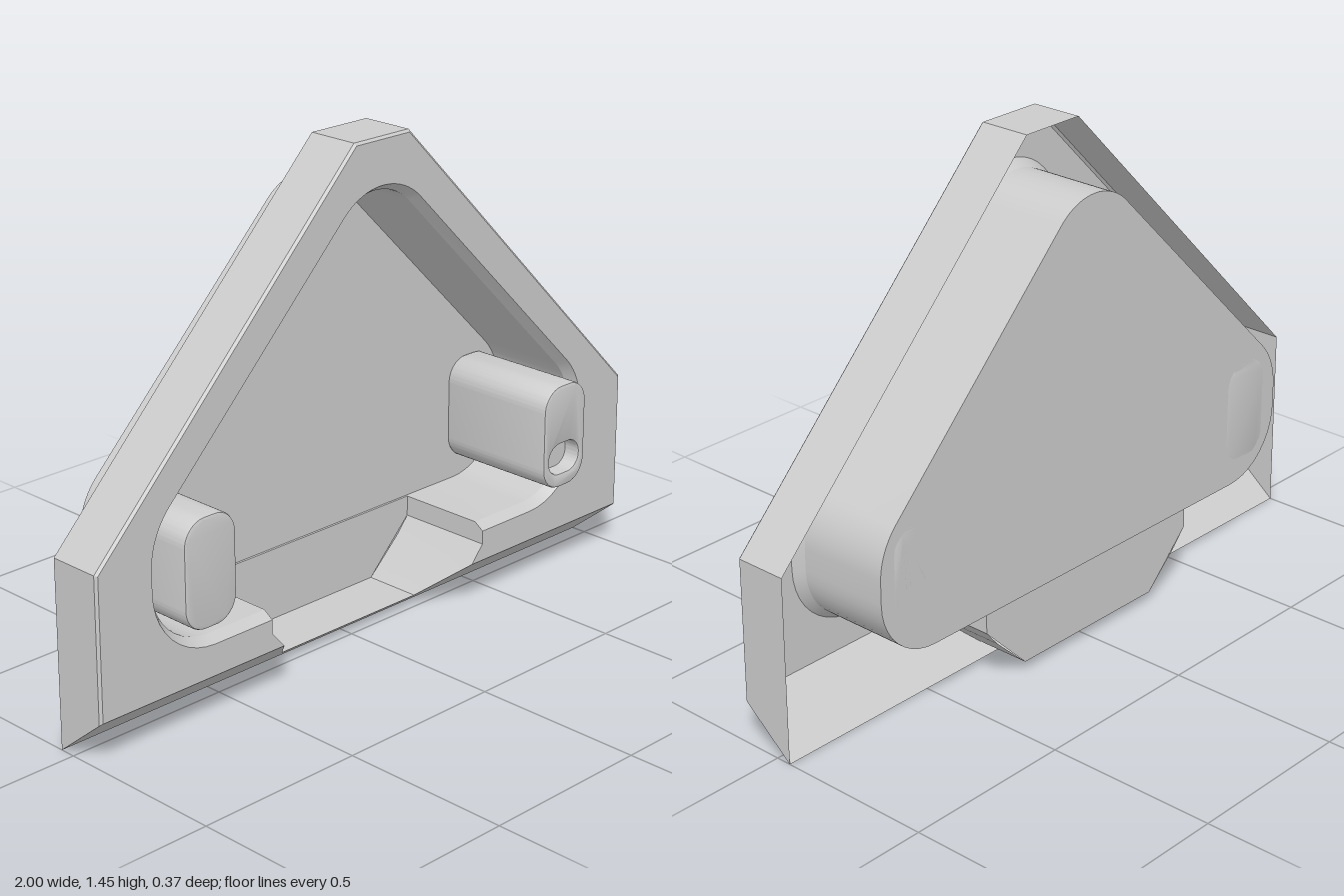
import * as THREE from 'three';
import { toCreasedNormals } from 'three/addons/utils/BufferGeometryUtils.js';

const FRONT = 0.115, BACK = -0.045, FLOOR = -0.187, TROUGH = -0.18;
const LIP = 0.02, LIP_Z = 0.085, EDGE = 0.007, CHAMFER_Y = 0.13;
const chamferZ = (y) => Math.min(FRONT, BACK + (y * (FRONT - BACK)) / CHAMFER_Y);

const shell = new THREE.MeshStandardMaterial({ color: 0xcccccc, side: THREE.DoubleSide });
const solid = new THREE.MeshStandardMaterial({ color: 0xcccccc });

function add(group, name, geometry, material = shell) {
  const mesh = new THREE.Mesh(geometry, material);
  mesh.name = name;
  group.add(mesh);
  return mesh;
}

// Surface through open rings of [x, y, z] points, all of the same length
function loft(rings) {
  const n = rings[0].length, index = [];
  for (let r = 0; r < rings.length - 1; r++) {
    for (let i = 0; i < n - 1; i++) {
      const a = r * n + i, b = a + n;
      index.push(a, a + 1, b, a + 1, b + 1, b);
    }
  }
  const geometry = new THREE.BufferGeometry();
  geometry.setAttribute('position', new THREE.Float32BufferAttribute(rings.flat(2), 3));
  geometry.setIndex(index);
  return toCreasedNormals(geometry, 0.5);
}

const atZ = (points, z) => points.map(([x, y]) => [x, y, z]);
const mirrored = (half) => [...half, ...half.slice().reverse().map(([x, ...rest]) => [-x, ...rest])];
const flat = (points) => new THREE.ShapeGeometry(new THREE.Shape(points.map(([x, y]) => new THREE.Vector2(x, y))));

// Outer outline, from bottom right over the top to bottom left
const outer = (inset, y0) => mirrored([
  [1 - inset, y0], [1 - inset, 0.535 - 0.41 * inset], [0.1 - 0.41 * inset, 1.45 - inset],
]);

// Rounded triangular opening, grown by d, left open along the trough
function opening(d) {
  const half = [[0.41, 0.24 - d]];
  const arc = (cx, cy, r, from, to) => {
    for (let i = 0; i <= 10; i++) {
      const a = THREE.MathUtils.degToRad(from + ((to - from) * i) / 10);
      half.push([cx + (r + d) * Math.cos(a), cy + (r + d) * Math.sin(a)]);
    }
  };
  arc(0.61, 0.43, 0.19, -90, 0);
  arc(0.6, 0.492, 0.2, 0, 45);
  arc(0, 1.12, 0.18, 45, 89);
  return mirrored(half);
}

function roundedRect(Type, w, h, r, cy = 0) {
  const s = new Type(), x = w / 2 - r, y = h / 2 - r;
  s.absarc(x, cy + y, r, 0, Math.PI / 2);
  s.absarc(-x, cy + y, r, Math.PI / 2, Math.PI);
  s.absarc(-x, cy - y, r, Math.PI, Math.PI * 1.5);
  s.absarc(x, cy - y, r, Math.PI * 1.5, Math.PI * 2);
  s.closePath();
  return s;
}

// Upright key standing on the recess floor
function key(name, x, top, hasPocket) {
  const group = new THREE.Group();
  group.name = name;
  const bevel = 0.008;
  const shape = roundedRect(THREE.Shape, 0.175, 0.31, 0.07);
  if (hasPocket) shape.holes.push(roundedRect(THREE.Path, 0.125, 0.09, 0.044, -0.068));
  const body = new THREE.ExtrudeGeometry(shape, {
    depth: top - FLOOR - 2 * bevel, bevelSize: bevel, bevelThickness: bevel,
    bevelOffset: -bevel, bevelSegments: 2, curveSegments: 10,
  });
  body.translate(0, 0, FLOOR + bevel);
  add(group, 'keyBody', toCreasedNormals(body, 0.6), solid);
  if (hasPocket) {
    const base = new THREE.ShapeGeometry(roundedRect(THREE.Shape, 0.125, 0.09, 0.044, -0.068));
    add(group, 'keyPocketFloor', base.translate(0, 0, top - 0.05));
  }
  group.position.set(x, 0.458, 0);
  return group;
}

export function createModel() {
  const model = new THREE.Group();
  model.name = 'triangularPanel';

  // Outer rim, open at the back, with a fine front edge bevel
  add(model, 'outerRim', loft([
    outer(0, 0).map(([x, y]) => [x, y, BACK]),
    atZ(outer(0, CHAMFER_Y - 0.006), FRONT - EDGE),
    atZ(outer(EDGE, CHAMFER_Y), FRONT),
  ]));

  // Front face, running round the opening and the trough
  const notch = [[0.41, 0.18], [0.367, CHAMFER_Y]];
  const frontOutline = [
    ...outer(EDGE, CHAMFER_Y),
    ...notch.slice().reverse().map(([x, y]) => [-x, y]),
    ...opening(LIP).reverse(),
    ...notch,
  ];
  add(model, 'frontFace', flat(frontOutline).translate(0, 0, FRONT));

  // Sloping lower edge, notched for the trough
  const slope = flat(mirrored([
    [1, 0], [1, CHAMFER_Y - 0.006], [1 - EDGE, CHAMFER_Y], [0.367, CHAMFER_Y], [0.26, 0.03],
  ]).map(([x, y]) => [x, y]));
  const p = slope.attributes.position;
  for (let i = 0; i < p.count; i++) p.setZ(i, chamferZ(p.getY(i)));
  slope.computeVertexNormals();
  add(model, 'lowerSlope', slope);

  // Deep recess: bevelled lip, straight wall and back panel
  add(model, 'recessWall', loft([
    atZ(opening(0), FLOOR), atZ(opening(0), LIP_Z), atZ(opening(LIP), FRONT),
  ]));
  add(model, 'backPanel', flat(opening(0)).translate(0, 0, FLOOR));

  // Finger trough at the bottom
  const rim = mirrored([
    [0.41, 0.24, LIP_Z], [0.41, 0.24 - LIP, FRONT], [0.41, 0.18, FRONT],
    [0.367, CHAMFER_Y, FRONT], [0.26, 0.03, chamferZ(0.03)],
  ]);
  add(model, 'troughWall', loft([rim, atZ(rim, TROUGH)]));
  add(model, 'troughFloor', flat(mirrored([[0.26, 0.03], [0.41, 0.18], [0.41, 0.24]])).translate(0, 0, TROUGH));
  const step = [[-0.41, 0.24], [0.41, 0.24]];
  add(model, 'troughStep', loft([atZ(step, FLOOR), atZ(step, TROUGH)]));

  // Two keys
  model.add(key('rightKey', -0.667, 0.165, false), key('leftKey', 0.672, 0.187, true));
  return model;
}
